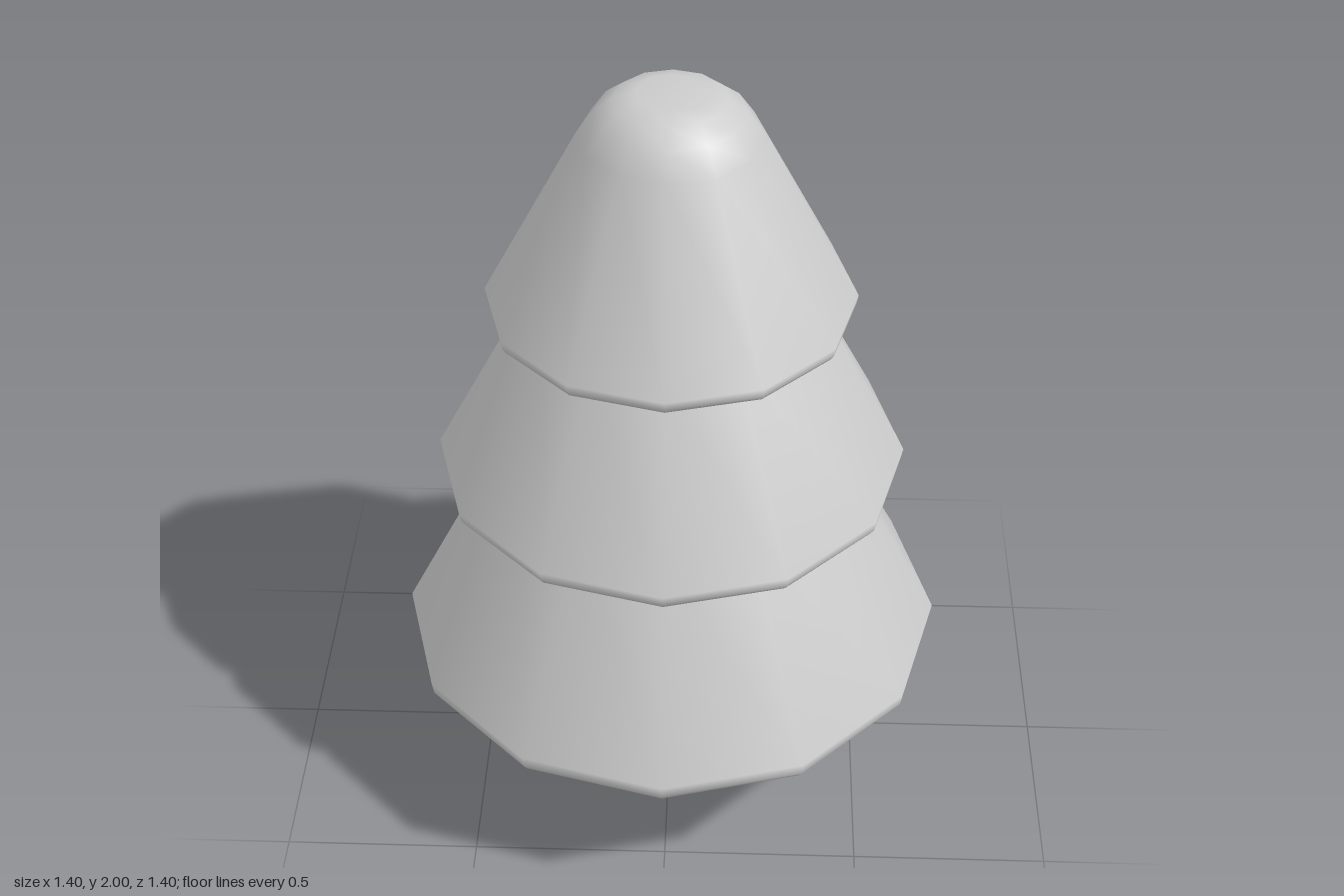
import * as THREE from 'three';

const SIDES = 12;

export function createModel() {
  const group = new THREE.Group();
  const material = new THREE.MeshStandardMaterial({ color: 0xcccccc });

  const add = (name, geometry) => {
    const mesh = new THREE.Mesh(geometry, material);
    mesh.name = name;
    group.add(mesh);
    return mesh;
  };

  // Foliage tier: flat underside, softly rounded rim, sloping skirt, then the given top
  const tier = (name, y, r, rim, top) => {
    const profile = [
      [0, y],
      [r - rim, y],
      [r - rim * 0.3, y + rim * 0.2],
      [r - rim * 0.1, y + rim * 0.5],
      [r, y + rim * 1.1],
      ...top,
    ].map(([px, py]) => new THREE.Vector2(px, py));
    add(name, new THREE.LatheGeometry(profile, SIDES));
  };

  // Trunk, running a little way into the lowest tier
  add('trunk', new THREE.CylinderGeometry(0.19, 0.19, 0.45, SIDES)).position.y = 0.225;

  // Lower tiers end just inside the tier above
  tier('lowerFoliage', 0.387, 0.702, 0.055, [[0.43, 0.965], [0.4, 0.98], [0, 0.98]]);
  tier('middleFoliage', 0.932, 0.593, 0.042, [[0.35, 1.44], [0.32, 1.45], [0, 1.45]]);

  // Top tier with a rounded crown
  tier('upperFoliage', 1.408, 0.456, 0.038, [
    [0.222, 1.89], [0.18, 1.95], [0.135, 1.985], [0.085, 2], [0, 2],
  ]);

  return group;
}
